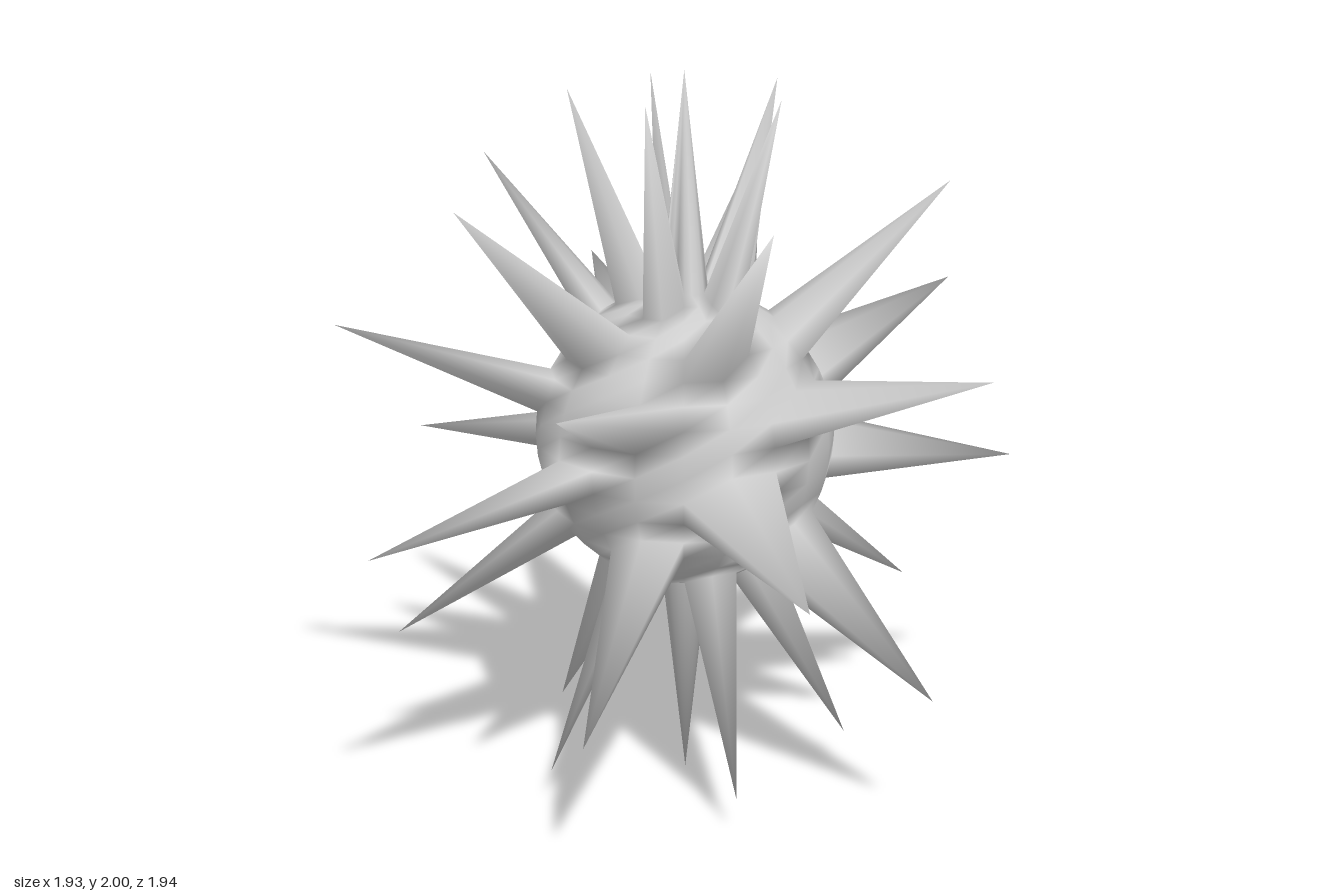
import * as THREE from 'three';

const SEG = 20;          // divisions around and from pole to pole
const BODY_R = 0.41;     // round core
const TIP_R = 1;         // spike tips

// Spikes sit on every third ring, five per ring, staggered from ring to ring.
function isSpike(ring, col) {
  if (ring === 0 || ring === SEG) return true;
  if (ring % 3 !== 2) return false;
  if (ring === 11 && (col === 4 || col === 5)) return col === 5; // one spike is shifted a step
  return col % 4 === (ring % 2 === 0 ? 2 : 0);
}

export function createModel() {
  const positions = [];
  const index = [];

  const addVertex = (ring, col) => {
    const polar = (ring / SEG) * Math.PI;
    const turn = (col / SEG) * Math.PI * 2;
    const r = isSpike(ring, col) ? TIP_R : BODY_R;
    positions.push(
      r * Math.sin(polar) * Math.sin(turn),
      r * Math.cos(polar),
      r * Math.sin(polar) * Math.cos(turn)
    );
  };

  // Top pole, rings, bottom pole
  addVertex(0, 0);
  for (let ring = 1; ring < SEG; ring++) {
    for (let col = 0; col < SEG; col++) addVertex(ring, col);
  }
  addVertex(SEG, 0);

  const bottom = positions.length / 3 - 1;
  const at = (ring, col) => 1 + (ring - 1) * SEG + (col % SEG);

  for (let col = 0; col < SEG; col++) {
    index.push(0, at(1, col), at(1, col + 1));
    for (let ring = 1; ring < SEG - 1; ring++) {
      const ul = at(ring, col), ur = at(ring, col + 1);
      const ll = at(ring + 1, col), lr = at(ring + 1, col + 1);
      index.push(ul, ll, ur, ll, lr, ur);
    }
    index.push(at(SEG - 1, col), bottom, at(SEG - 1, col + 1));
  }

  const geometry = new THREE.BufferGeometry();
  geometry.setAttribute('position', new THREE.Float32BufferAttribute(positions, 3));
  geometry.setIndex(index);
  geometry.computeVertexNormals();

  // Smooth ball with the spikes drawn out of its surface
  const ball = new THREE.Mesh(geometry, new THREE.MeshStandardMaterial({ color: 0xcccccc }));
  ball.name = 'spikedBall';
  ball.position.set(-0.024, 1, -0.018);

  const group = new THREE.Group();
  group.name = 'spikyBall';
  group.add(ball);
  return group;
}
